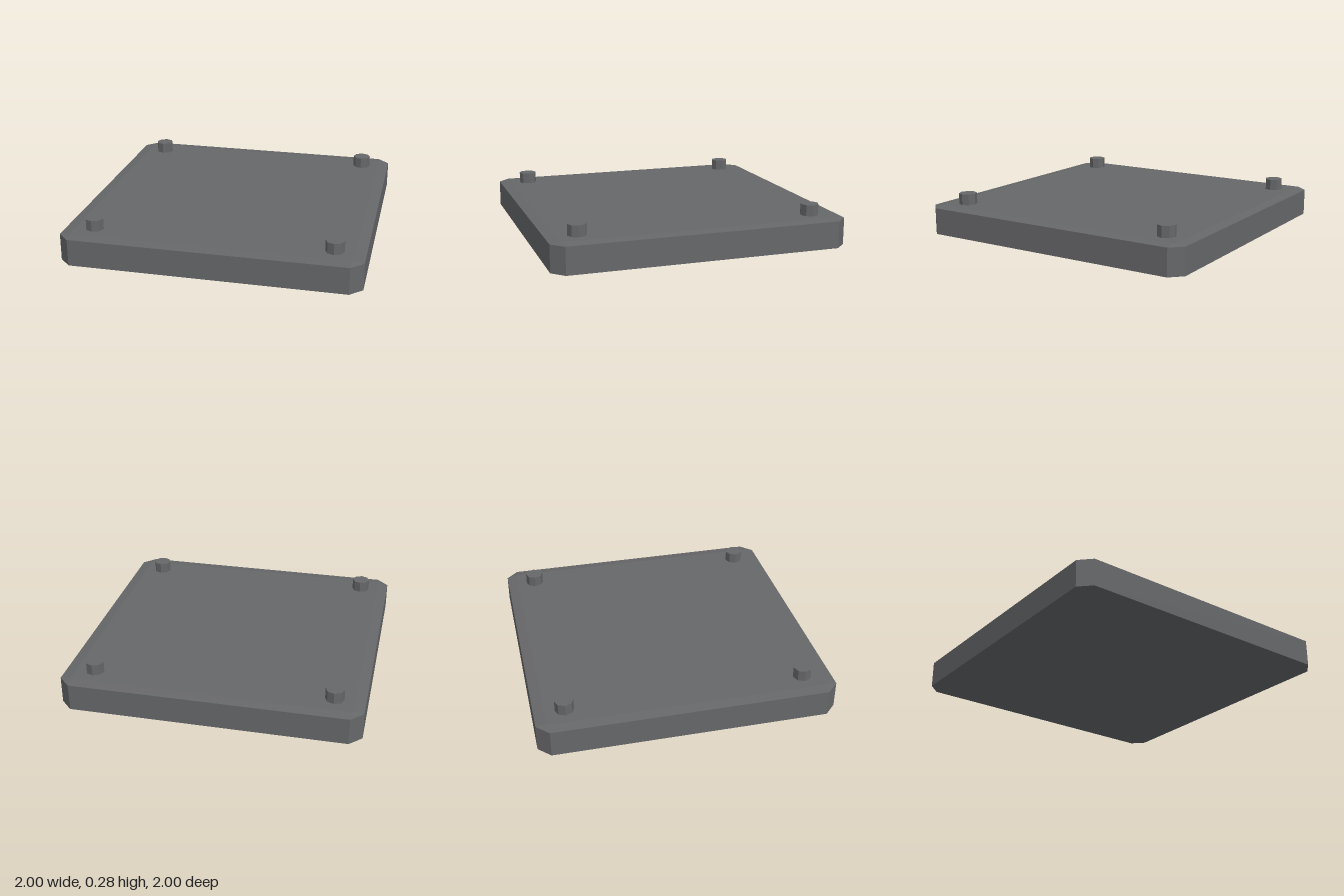
import * as THREE from 'three';

const material = new THREE.MeshStandardMaterial({ color: 0x666769, flatShading: true });

// Square outline with cut corners, as points on the plane at height y
function outline(half, cut, y) {
  const a = half - cut;
  return [[a, half], [half, a], [half, -a], [a, -half], [-a, -half], [-half, -a], [-half, a], [-a, half]]
    .map(([x, z]) => [x, y, z]);
}

// Slab lofted through outlines, closed with a fan at both ends
function slabGeometry(loops) {
  const positions = [];
  const tri = (a, b, c) => positions.push(...a, ...b, ...c);
  const n = loops[0].length;
  for (let k = 0; k < loops.length - 1; k++) {
    for (let i = 0; i < n; i++) {
      const j = (i + 1) % n;
      const [a, b, c, d] = [loops[k][i], loops[k][j], loops[k + 1][j], loops[k + 1][i]];
      tri(a, b, c);
      tri(a, c, d);
    }
  }
  const bottom = loops[0], top = loops[loops.length - 1];
  for (let i = 1; i < n - 1; i++) {
    tri(bottom[0], bottom[i + 1], bottom[i]);
    tri(top[0], top[i], top[i + 1]);
  }
  const geometry = new THREE.BufferGeometry();
  geometry.setAttribute('position', new THREE.Float32BufferAttribute(positions, 3));
  geometry.computeVertexNormals();
  return geometry;
}

export function createModel() {
  const model = new THREE.Group();
  model.name = 'platform';

  // Plate with cut corners and a shallow bevel above and below
  const plate = new THREE.Mesh(slabGeometry([
    outline(0.93, 0.01, 0),
    outline(1, 0.08, 0.01),
    outline(1, 0.08, 0.193),
    outline(0.93, 0.01, 0.203),
  ]), material);
  plate.name = 'plate';
  model.add(plate);

  // Eight-sided peg near each corner
  const pegGeometry = new THREE.CylinderGeometry(0.062, 0.062, 0.085, 8);
  for (const x of [-0.8, 0.8]) {
    for (const z of [-0.8, 0.8]) {
      const peg = new THREE.Mesh(pegGeometry, material);
      peg.name = `${z > 0 ? 'front' : 'back'}${x > 0 ? 'Left' : 'Right'}Peg`;
      peg.position.set(x, 0.236, z);
      model.add(peg);
    }
  }
  return model;
}
